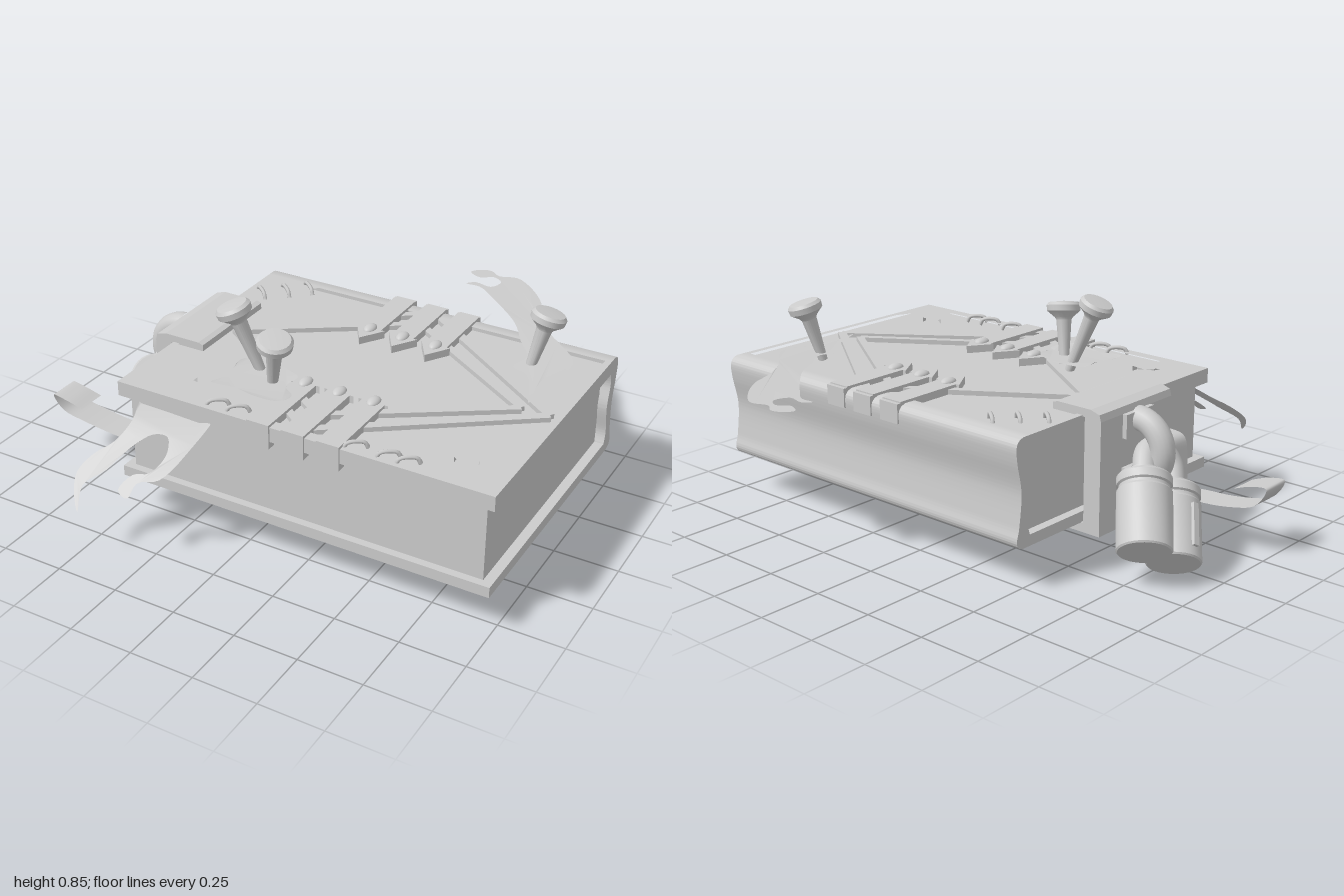
import * as THREE from 'three';
import { toCreasedNormals } from 'three/addons/utils/BufferGeometryUtils.js';

const V2 = (x, y) => new THREE.Vector2(x, y);
const V3 = (x, y, z) => new THREE.Vector3(x, y, z);

export function createModel() {
  const model = new THREE.Group();
  const solid = new THREE.MeshStandardMaterial({ color: 0xcccccc });
  const thin = new THREE.MeshStandardMaterial({ color: 0xcccccc, side: THREE.DoubleSide });

  const add = (name, geo, parent = model, mat = solid) => {
    const m = new THREE.Mesh(geo, mat);
    m.name = name;
    parent.add(m);
    return m;
  };
  // box given by its limits on each axis
  const box = (name, x0, x1, y0, y1, z0, z1, parent) => {
    const m = add(name, new THREE.BoxGeometry(x1 - x0, y1 - y0, z1 - z0), parent);
    m.position.set((x0 + x1) / 2, (y0 + y1) / 2, (z0 + z1) / 2);
    return m;
  };
  // horizontal plate from an x/z outline, with optional hole
  const plate = (name, pts, y0, h, hole) => {
    const s = new THREE.Shape(pts.map(([x, z]) => V2(x, -z)));
    if (hole) s.holes.push(new THREE.Path(hole.map(([x, z]) => V2(x, -z))));
    const g = new THREE.ExtrudeGeometry(s, { depth: h, bevelEnabled: false });
    return add(name, g.rotateX(-Math.PI / 2).translate(0, y0, 0));
  };
  // thin torn sheet from a smoothed x/z outline; height follows z
  const sheet = (name, pts, height) => {
    const curve = new THREE.CatmullRomCurve3(pts.map(([x, z]) => V3(x, -z, 0)), true);
    const s = new THREE.Shape(curve.getPoints(pts.length * 4).slice(0, -1).map(p => V2(p.x, p.y)));
    const g = new THREE.ShapeGeometry(s).rotateX(-Math.PI / 2);
    const p = g.attributes.position;
    for (let i = 0; i < p.count; i++) p.setY(i, height(p.getZ(i)));
    g.computeVertexNormals();
    return add(name, g, model, thin);
  };
  // profile in z/y swept along x
  const sweepX = (shape, x0, x1) => new THREE.ExtrudeGeometry(shape, { depth: x1 - x0, bevelEnabled: false, curveSegments: 16 })
    .rotateY(-Math.PI / 2).translate(x1, 0, 0);

  // Covers and hollow-backed spine, one C-shaped section
  const c = new THREE.Shape();
  c.moveTo(0.57, 0.55);
  c.lineTo(-0.48, 0.55);
  c.lineTo(-0.48, 0.57);
  c.lineTo(-0.515, 0.57);
  c.splineThru([V2(-0.538, 0.56), V2(-0.55, 0.535), V2(-0.545, 0.48), V2(-0.524, 0.37),
    V2(-0.535, 0.25), V2(-0.547, 0.2), V2(-0.54, 0.175), V2(-0.515, 0.165)]);
  c.lineTo(0.57, 0.165);
  c.lineTo(0.57, 0.207);
  c.lineTo(-0.48, 0.207);
  c.splineThru([V2(-0.49, 0.26), V2(-0.473, 0.37), V2(-0.49, 0.46), V2(-0.48, 0.512)]);
  c.lineTo(0.57, 0.512);
  c.closePath();
  add('cover', toCreasedNormals(sweepX(c, -0.515, 0.99), 0.6));
  box('pages', -0.48, 0.953, 0.2, 0.52, -0.48, 0.54);

  // Raised rim with torn inner edge
  plate('coverRim', [[-0.515, -0.48], [0.99, -0.48], [0.99, 0.57], [-0.515, 0.57]], 0.545, 0.025, [
    [-0.49, -0.26], [-0.27, -0.47], [0.965, -0.47], [0.965, 0.34], [0.94, 0.4], [0.9, 0.43], [0.86, 0.42],
    [0.85, 0.39], [0.77, 0.39], [0.77, 0.42], [0.83, 0.46], [0.83, 0.5], [0.8, 0.525], [-0.31, 0.525],
    [-0.35, 0.5], [-0.34, 0.46], [-0.28, 0.43], [-0.28, 0.4], [-0.35, 0.39], [-0.37, 0.43], [-0.44, 0.44], [-0.49, 0.38]]);

  // Diamond mouldings
  const bar = (name, x0, z0, x1, z1, w) => {
    const m = add(name, new THREE.BoxGeometry(Math.hypot(x1 - x0, z1 - z0), 0.025, w));
    m.position.set((x0 + x1) / 2, 0.556, (z0 + z1) / 2);
    m.rotation.y = -Math.atan2(z1 - z0, x1 - x0);
  };
  for (const s of [-1, 1]) {
    bar('diamondLeft', -0.37, 0, 0.23, s * 0.4, 0.03);
    bar('diamondRight', 0.83, 0, 0.23, s * 0.4, 0.03);
    bar('outerChevron', 0.94, 0, 0.24, s * 0.51, 0.035);
    bar('strapBrace', 0.22, s * 0.5, 0.06, s * 0.38, 0.03);
  }

  // Pointed straps with studs, wrapping over the edges
  for (const x of [0.09, 0.23, 0.37]) {
    for (const s of [-1, 1]) {
      const end = s > 0 ? 0.575 : 0.54;
      const pts = [[-0.045, end], [0.045, end], [0.045, 0.25], [0.06, 0.25], [0, 0.155], [-0.06, 0.25], [-0.045, 0.25]]
        .map(([dx, z]) => [x + dx * s, z * s]);
      plate('strap', pts, 0.548, 0.032);
      const stud = add('strapStud', new THREE.SphereGeometry(0.024, 16, 8, 0, Math.PI * 2, 0, Math.PI / 2));
      stud.scale.set(1, 0.75, 1.5);
      stud.position.set(x, 0.578, s * 0.245);
    }
    box('strapFrontTab', x - 0.045, x + 0.045, 0.485, 0.58, 0.54, 0.577);
    box('strapBackTab', x - 0.045, x + 0.045, 0.5, 0.575, -0.556, -0.52);
  }

  // Stitches
  const stitch = (x, z, dx, dz) => add('stitch', new THREE.TubeGeometry(new THREE.CatmullRomCurve3([
    V3(x - dx, 0.56, z - dz), V3(x - dx * 0.7, 0.582, z - dz * 0.7),
    V3(x + dx * 0.7, 0.582, z + dz * 0.7), V3(x + dx, 0.56, z + dz)]), 10, 0.008, 6));
  for (const [x, z] of [[-0.45, -0.315], [-0.375, -0.38], [-0.305, -0.445]]) stitch(x, z, 0.036, 0.03);
  for (const x of [-0.11, -0.025, 0.45, 0.575, 0.65]) stitch(x, 0.522, 0.035, -0.025);

  // Nails: base point, then head point
  const nails = [
    [V3(-0.09, 0.55, 0.245), V3(-0.2, 0.835, 0.28)],
    [V3(-0.02, 0.55, 0.3), V3(0.025, 0.785, 0.347)],
    [V3(0.735, 0.55, -0.29), V3(0.785, 0.785, -0.337)]];
  for (const [a, b] of nails) {
    const L = a.distanceTo(b);
    const prof = [[0, 0], [0.018, 0], [0.03, L - 0.07], [0.036, L - 0.06], [0.066, L - 0.035], [0.068, L - 0.012], [0.058, L], [0, L + 0.004]];
    const n = add('nail', toCreasedNormals(new THREE.LatheGeometry(prof.map(p => V2(...p)), 24), 0.5));
    n.position.copy(a);
    n.quaternion.setFromUnitVectors(V3(0, 1, 0), b.clone().sub(a).normalize());
  }

  // Clasp around the side edge, with its ring
  const clasp = new THREE.Group();
  clasp.name = 'clasp';
  model.add(clasp);
  const cl = new THREE.Shape([[-0.38, 0.565], [-0.38, 0.59], [-0.4, 0.597], [-0.55, 0.597], [-0.59, 0.585], [-0.597, 0.56],
    [-0.597, 0.13], [-0.38, 0.13], [-0.38, 0.167], [-0.525, 0.167], [-0.525, 0.565]].map(p => V2(...p)));
  add('claspBody', new THREE.ExtrudeGeometry(cl, { depth: 0.415, bevelEnabled: false }).translate(0, 0, -0.2), clasp);
  box('claspBoss', -0.615, -0.58, 0.26, 0.36, -0.075, 0.085, clasp);
  box('claspBoss', -0.615, -0.58, 0.47, 0.56, -0.075, 0.085, clasp);
  const ring = add('claspRing', new THREE.TorusGeometry(0.112, 0.046, 16, 24, Math.PI), clasp);
  ring.rotation.z = Math.PI / 2;
  ring.position.set(-0.605, 0.418, 0.005);

  // Padlock hanging at an angle: twin-barrel body and shackle
  const lock = new THREE.Group();
  lock.name = 'padlock';
  const up = V3(0.44, 0.7, 0.56).normalize();
  const out = V3(0.04, 0.07, -0.12);
  out.addScaledVector(up, -out.dot(up)).normalize();
  lock.quaternion.setFromRotationMatrix(new THREE.Matrix4().makeBasis(out, up, out.clone().cross(up)));
  lock.position.set(-0.84, 0.11, -0.17);
  model.add(lock);
  const half = 0.072;
  for (const s of [-1, 1]) {
    const barrel = [[0, 0], [0.095, 0], [0.1, 0.006], [0.1, 0.225], [0.092, 0.235], [0.092, 0.245], [0.1, 0.25],
      [0.1, 0.28], [0.092, 0.29], [0.06, 0.29], [0.06, 0.31], [0, 0.31]];
    const b = add('padlockBarrel', toCreasedNormals(new THREE.LatheGeometry(barrel.map(p => V2(...p)), 32), 0.5), lock);
    b.position.x = s * half;
  }
  for (const s of [-1, 1]) box('padlockRib', -half - 0.012, -half + 0.012, 0.04, 0.2, s * 0.1 - 0.012, s * 0.1 + 0.012, lock);
  const arc = [V3(-half, 0.28, 0), V3(-half, 0.34, 0)];
  for (let i = 1; i < 8; i++) {
    const t = Math.PI * (1 - i / 8);
    arc.push(V3(half * Math.cos(t), 0.35 + half * Math.sin(t), 0));
  }
  arc.push(V3(half, 0.34, 0), V3(half, 0.28, 0));
  add('padlockShackle', new THREE.TubeGeometry(new THREE.CatmullRomCurve3(arc), 40, 0.043, 16), lock);

  // Bookmark ribbon curling out of the side
  const path = new THREE.CatmullRomCurve3([[-0.47, 0.37], [-0.545, 0.35], [-0.565, 0.25], [-0.58, 0.17], [-0.7, 0.168],
    [-0.86, 0.185], [-0.96, 0.215], [-0.995, 0.28], [-0.93, 0.275], [-0.86, 0.252]].map(([x, y]) => V3(x, y, 0)));
  const ribbon = new THREE.PlaneGeometry(1, 1, 50, 1);
  const rp = ribbon.attributes.position;
  for (let i = 0; i < rp.count; i++) {
    const t = rp.getX(i) + 0.5;
    const p = path.getPoint(Math.min(1, Math.max(0, t)));
    rp.setXYZ(i, p.x, p.y, 0.31 + rp.getY(i) * 0.125 + 0.012 * Math.sin(t * 9));
  }
  ribbon.computeVertexNormals();
  add('bookmarkRibbon', ribbon, model, thin);

  // Torn sheets: pinned strip, page hanging from the front, scrap under the nails
  sheet('tornStrip', [[0.85, -0.02], [0.8, -0.12], [0.76, -0.21], [0.69, -0.24], [0.71, -0.33], [0.64, -0.43], [0.57, -0.54],
    [0.47, -0.64], [0.39, -0.71], [0.31, -0.77], [0.25, -0.77], [0.28, -0.8], [0.35, -0.79], [0.37, -0.85], [0.32, -0.88],
    [0.28, -0.85], [0.22, -0.88], [0.25, -0.92], [0.29, -0.93], [0.34, -0.9], [0.41, -0.92], [0.5, -0.86], [0.59, -0.75],
    [0.63, -0.65], [0.7, -0.55], [0.79, -0.47], [0.86, -0.4], [0.88, -0.33], [0.83, -0.22], [0.83, -0.12]],
  z => 0.58 + 0.012 * Math.min(1, Math.max(0, (-z - 0.3) / 0.3)));
  sheet('tornPage', [[-0.44, 0.52], [-0.42, 0.62], [-0.44, 0.7], [-0.5, 0.76], [-0.53, 0.82], [-0.51, 0.87], [-0.46, 0.92],
    [-0.485, 0.85], [-0.42, 0.79], [-0.37, 0.71], [-0.31, 0.645], [-0.25, 0.64], [-0.22, 0.7], [-0.25, 0.76], [-0.31, 0.78],
    [-0.34, 0.83], [-0.29, 0.845], [-0.28, 0.8], [-0.2, 0.77], [-0.15, 0.68], [-0.14, 0.52]],
  z => 0.49 - 0.27 * Math.pow(Math.max(0, z - 0.54) / 0.38, 1.4));
  sheet('paperScrap', [[-0.19, 0.22], [-0.1, 0.2], [0, 0.21], [0.06, 0.25], [0.05, 0.32], [0.1, 0.36], [0.08, 0.43],
    [-0.02, 0.44], [-0.1, 0.42], [-0.2, 0.43], [-0.18, 0.34]],
  z => 0.588 + 0.006 * Math.sin(z * 30));

  return model;
}
